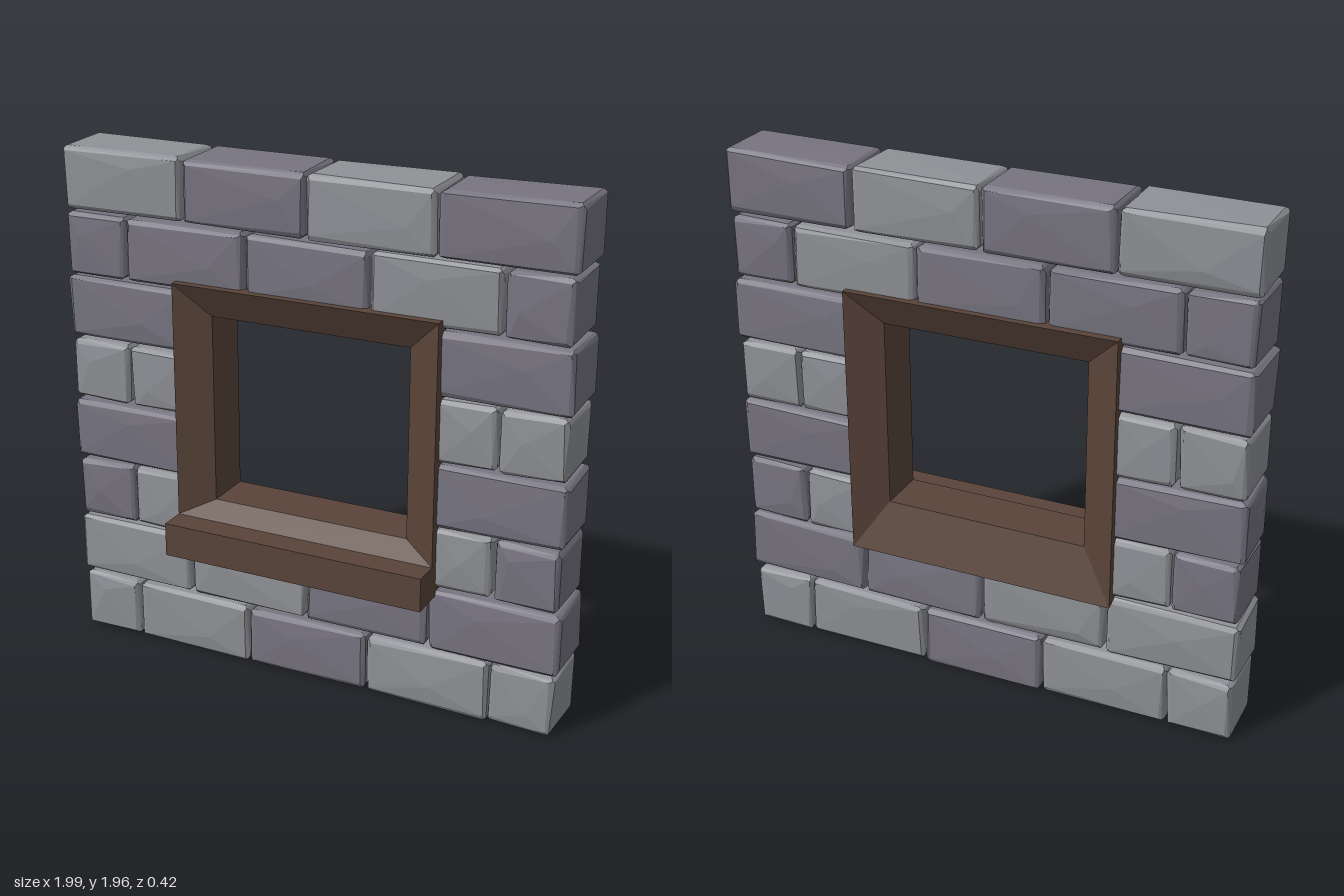
import * as THREE from 'three';
import { ConvexGeometry } from 'three/addons/geometries/ConvexGeometry.js';

const material = (color) => new THREE.MeshStandardMaterial({ color, flatShading: true });

// Seeded noise in -1..1 keeps the stones irregular but repeatable
function makeNoise(seed) {
  let s = seed;
  return () => {
    s = (s * 16807) % 2147483647;
    return (s / 2147483647) * 2 - 1;
  };
}

// Rough-hewn block: uneven chamfered corners plus a slight ridge on each broad face
function stoneGeometry(w, h, d, noise) {
  const pts = [];
  const chamfer = 0.022;
  for (const sx of [-1, 1]) for (const sy of [-1, 1]) for (const sz of [-1, 1]) {
    const inset = [0, 0, 0].map(() => 0.004 + 0.004 * noise());
    for (let axis = 0; axis < 3; axis++) {
      const c = [w / 2, h / 2, d / 2].map((half, i) =>
        half - inset[i] - (i === axis ? 0 : chamfer * (0.75 + 0.3 * noise())));
      pts.push(new THREE.Vector3(sx * c[0], sy * c[1], sz * c[2]));
    }
    // softened corner between the three chamfers
    pts.push(new THREE.Vector3(
      sx * (w / 2 - inset[0] - chamfer * 0.35),
      sy * (h / 2 - inset[1] - chamfer * 0.35),
      sz * (d / 2 - inset[2] - chamfer * 0.35)));
  }
  for (const s of [-1, 1]) {
    pts.push(new THREE.Vector3(noise() * w * 0.3, noise() * h * 0.25, s * (d / 2 + 0.003)));
    pts.push(new THREE.Vector3(noise() * w * 0.3, s * (h / 2), noise() * d * 0.25));
    pts.push(new THREE.Vector3(s * (w / 2), noise() * h * 0.25, noise() * d * 0.25));
  }
  return new ConvexGeometry(pts);
}

// Closed loop of rectangular rings [halfWidth, bottom, top, z], joined by mitred faces
function ringGeometry(rings) {
  const corners = rings.map(([w, y0, y1, z]) => [[-w, y0, z], [w, y0, z], [w, y1, z], [-w, y1, z]]);
  const pos = [];
  corners.forEach((ring, r) => {
    const next = corners[(r + 1) % corners.length];
    for (let i = 0; i < 4; i++) {
      const j = (i + 1) % 4;
      pos.push(...ring[i], ...ring[j], ...next[j], ...ring[i], ...next[j], ...next[i]);
    }
  });
  const geometry = new THREE.BufferGeometry();
  geometry.setAttribute('position', new THREE.Float32BufferAttribute(pos, 3));
  geometry.computeVertexNormals();
  return geometry;
}

export function createModel() {
  const model = new THREE.Group();
  const noise = makeNoise(4217);
  const stoneMaterials = { L: material(0x8f9196), D: material(0x777480) };
  const wood = material(0x59443a);

  // Stone courses from the bottom up: L light, D dark, - left open for the window
  const wall = new THREE.Group();
  wall.name = 'stoneWall';
  const offsetJoints = [-0.985, -0.735, -0.245, 0.245, 0.735, 0.985];
  const evenJoints = [-0.995, -0.492, 0, 0.492, 0.995];
  const splitJoints = [-0.985, -0.735, -0.49, 0.49, 0.735, 0.985];
  const courses = [
    [offsetJoints, 'LLDLL'],
    [evenJoints, 'LLDD'],
    [splitJoints, 'DL-LD'],
    [evenJoints, 'D--D'],
    [splitJoints, 'LL-LL'],
    [evenJoints, 'D--D'],
    [offsetJoints, 'DDDLD'],
    [evenJoints, 'LDLD'],
  ];
  const courseHeight = 0.245;
  courses.forEach(([joints, tones], row) => {
    [...tones].forEach((tone, i) => {
      if (tone === '-') return;
      const width = joints[i + 1] - joints[i];
      const stone = new THREE.Mesh(
        stoneGeometry(width, courseHeight - 0.002, 0.264, noise), stoneMaterials[tone]);
      stone.name = `stone_${row}_${i}`;
      stone.position.set((joints[i] + joints[i + 1]) / 2, 0.013 + courseHeight * (row + 0.5), -0.052);
      wall.add(stone);
    });
  });
  // lowest stones touch the ground
  wall.position.y = -0.008;
  model.add(wall);

  // Window frame, bevelled in towards the opening on both sides
  const frame = new THREE.Mesh(ringGeometry([
    [0.52, 0.6, 1.51, 0.11],
    [0.392, 0.66, 1.385, 0.045],
    [0.392, 0.66, 1.385, -0.145],
    [0.52, 0.47, 1.51, -0.21],
  ]), wood);
  frame.name = 'windowFrame';
  model.add(frame);

  // Projecting sill under the front of the frame
  const sill = new THREE.Mesh(new THREE.BoxGeometry(1.04, 0.13, 0.31), wood);
  sill.name = 'windowSill';
  sill.position.set(0, 0.535, 0.055);
  model.add(sill);

  return model;
}
